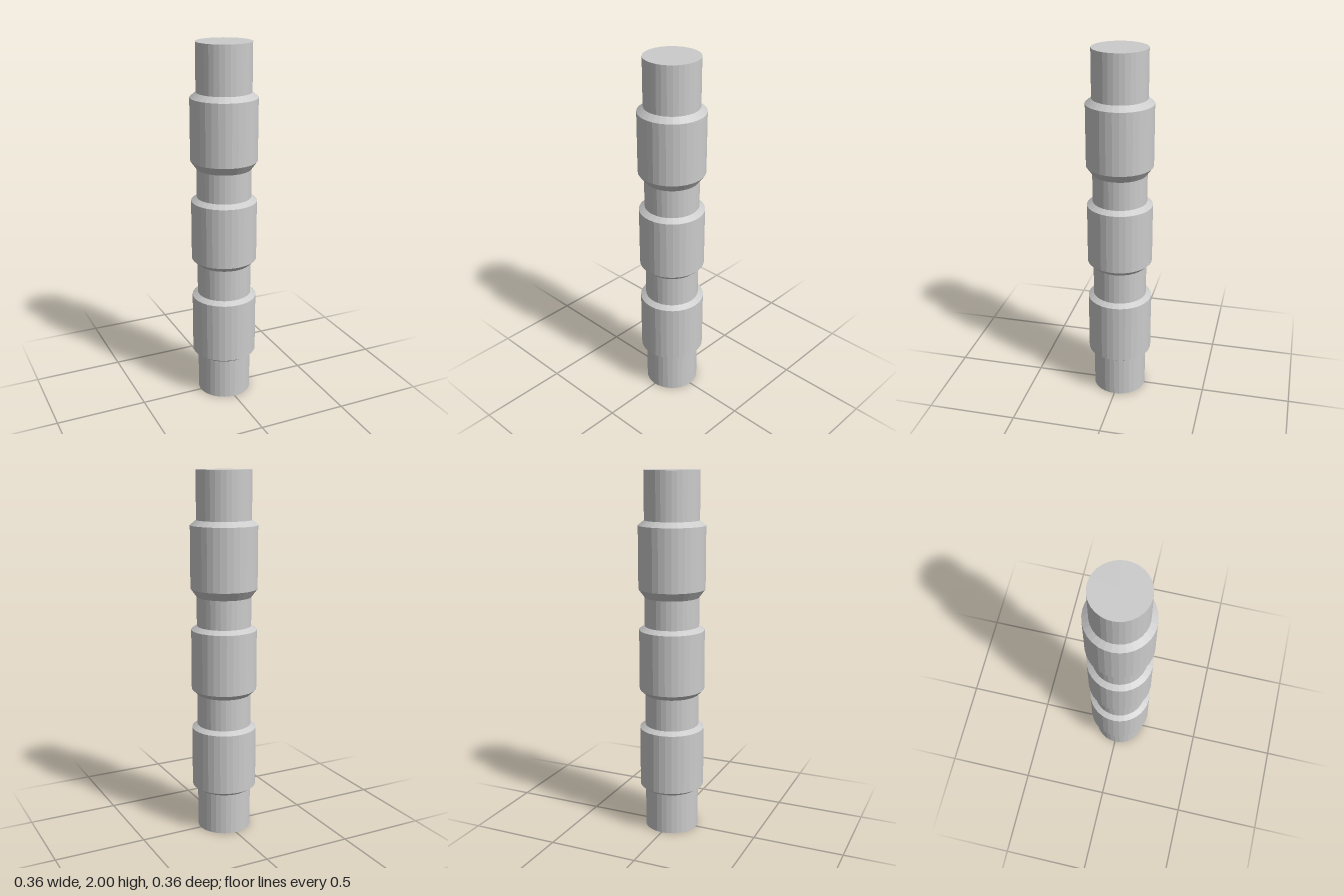
import * as THREE from 'three';

const SIDES = 32;
const SHAFT_R = 0.149;

// Collars from bottom to top: heights of the lower bevel, band and upper bevel
const COLLARS = [
  { name: 'lowerCollar', r: 0.179, y: [0.231, 0.252, 0.589, 0.608] },
  { name: 'middleCollar', r: 0.18, y: [0.785, 0.814, 1.149, 1.17] },
  { name: 'upperCollar', r: 0.182, y: [1.329, 1.374, 1.713, 1.74] },
];

export function createModel() {
  const group = new THREE.Group();
  const material = new THREE.MeshStandardMaterial({ color: 0xcccccc, flatShading: true });

  // Turned part from [radius, height] pairs, listed bottom to top
  const turn = (name, profile) => {
    const points = profile.map(([r, y]) => new THREE.Vector2(r, y));
    const mesh = new THREE.Mesh(new THREE.LatheGeometry(points, SIDES), material);
    mesh.name = name;
    group.add(mesh);
  };

  // Bevelled collars
  for (const { name, r, y } of COLLARS) {
    turn(name, [[SHAFT_R, y[0]], [r, y[1]], [r, y[2]], [SHAFT_R, y[3]]]);
  }

  // Shaft sections between the collars, closed at both ends
  const [low, mid, top] = COLLARS.map((c) => c.y);
  turn('shaftBase', [[0, 0], [SHAFT_R, 0], [SHAFT_R, low[0]]]);
  turn('lowerShaft', [[SHAFT_R, low[3]], [SHAFT_R, mid[0]]]);
  turn('upperShaft', [[SHAFT_R, mid[3]], [SHAFT_R, top[0]]]);
  turn('shaftTop', [[SHAFT_R, top[3]], [SHAFT_R, 2], [0, 2]]);

  return group;
}
